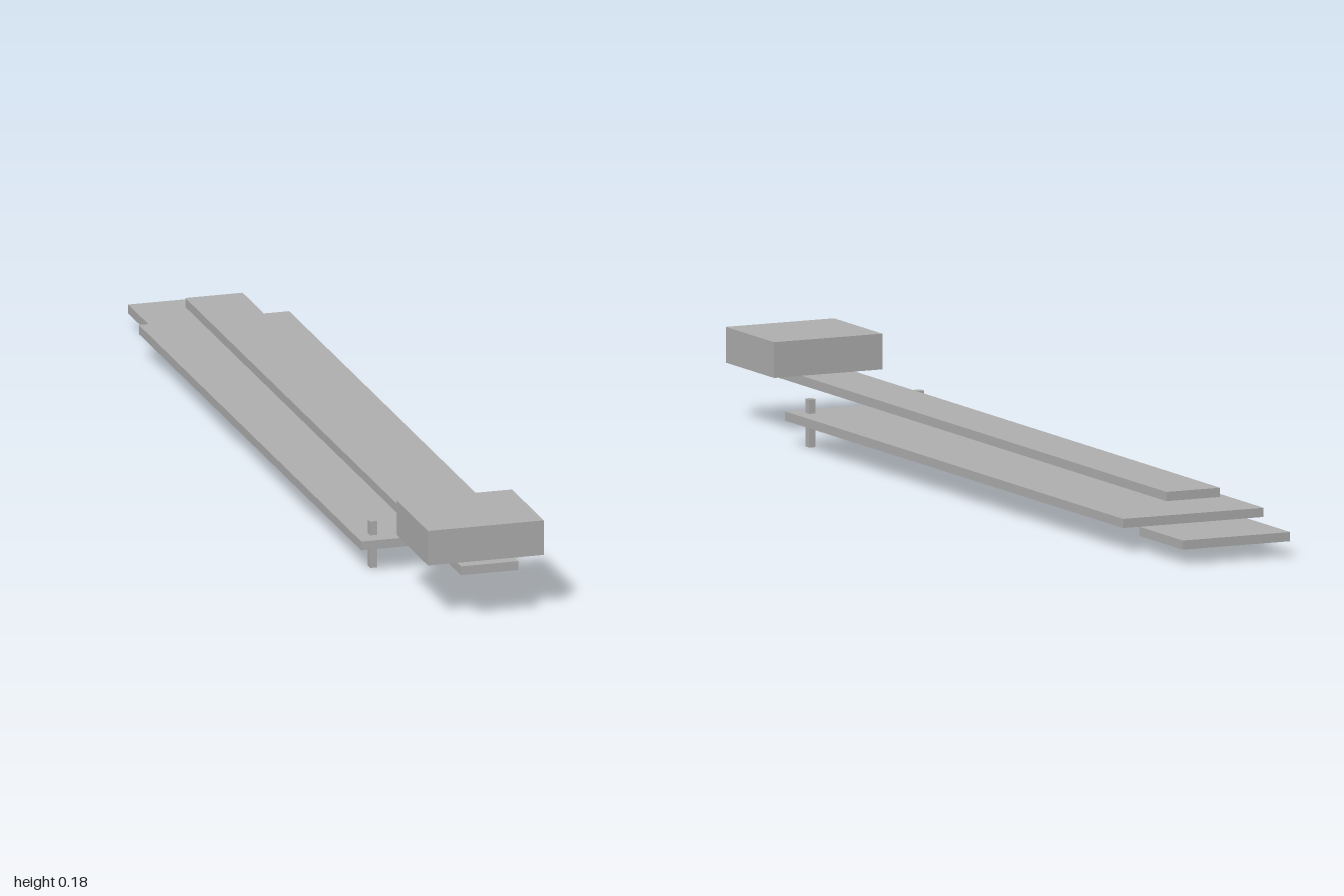
import * as THREE from 'three';

export function createModel() {
  const model = new THREE.Group();
  const grey = new THREE.MeshStandardMaterial({ color: 0xb0b0b0 });
  grey.name = 'plain grey';

  // Box given by its lower and upper limits on each axis
  function block(name, [x0, x1], [y0, y1], [z0, z1]) {
    const mesh = new THREE.Mesh(new THREE.BoxGeometry(x1 - x0, y1 - y0, z1 - z0), grey);
    mesh.position.set((x0 + x1) / 2, (y0 + y1) / 2, (z0 + z1) / 2);
    mesh.name = name;
    model.add(mesh);
    return mesh;
  }

  // Wide lower deck and the plate behind it
  block('lowerDeck', [-0.152, 0.152], [0.048, 0.066], [-0.813, 0.65]);
  block('rearPlate', [-0.116, 0.116], [0.03, 0.048], [-1, -0.813]);

  // Narrow upper beam carrying the front block
  block('upperBeam', [-0.058, 0.058], [0.094, 0.112], [-0.813, 1]);
  block('frontBlock', [-0.117, 0.117], [0.112, 0.182], [0.767, 0.976]);

  // Pegs passing through the deck, mirrored left and right
  for (const side of [1, -1]) {
    const peg = block(side > 0 ? 'leftPeg' : 'rightPeg', [0.11, 0.124], [0, 0.094], [0.601, 0.617]);
    peg.position.x *= side;
  }

  return model;
}
